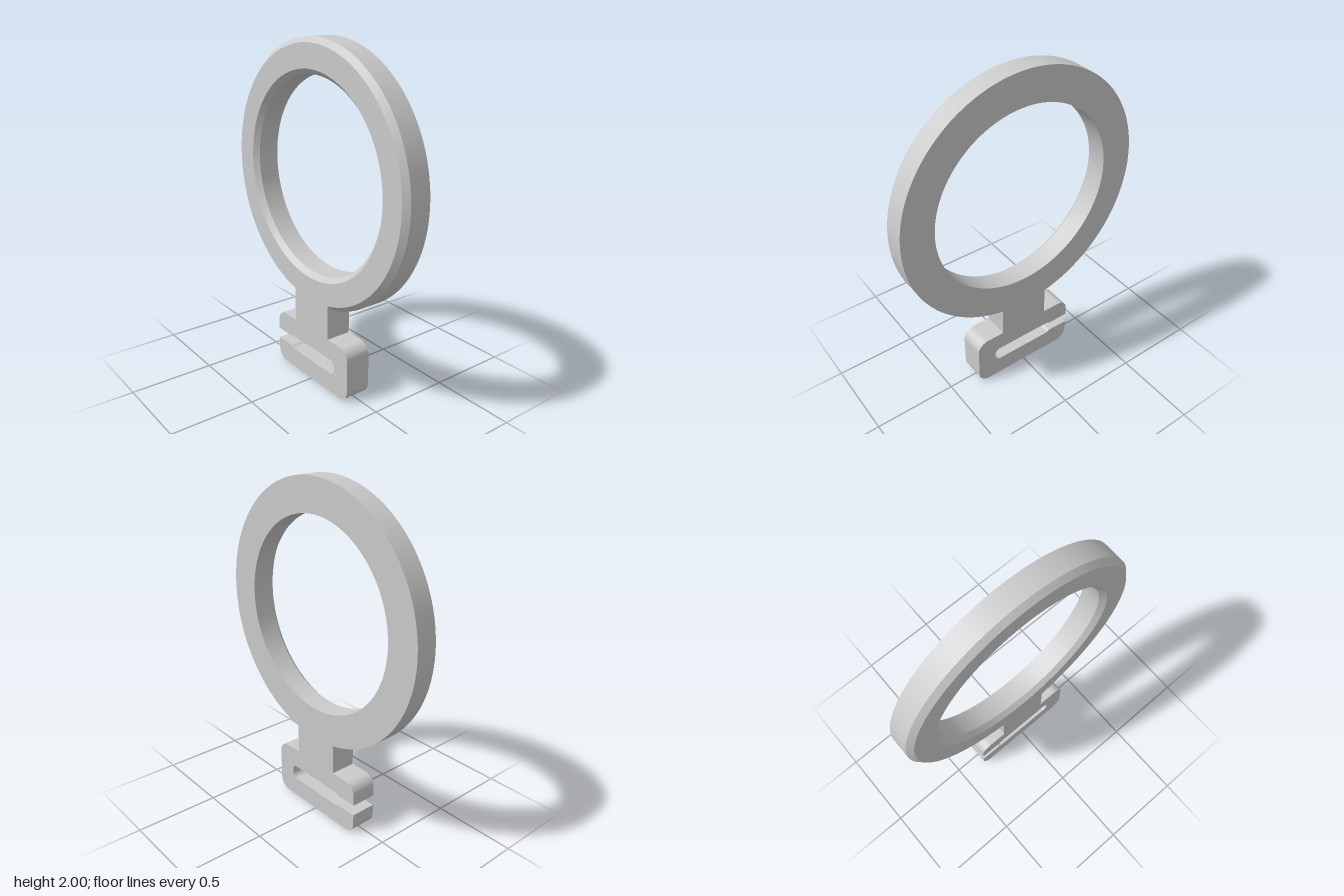
import * as THREE from 'three';
import { toCreasedNormals } from 'three/addons/utils/BufferGeometryUtils.js';

const H = 0.078;            // half thickness
const CY = 1.245;           // ring centre height
const R_OUT = 0.755, R_IN = 0.56, BEVEL = 0.03;

export function createModel() {
  const group = new THREE.Group();
  const material = new THREE.MeshStandardMaterial({ color: 0xcccccc });
  const add = (name, geometry) => {
    const mesh = new THREE.Mesh(toCreasedNormals(geometry, 0.5), material);
    mesh.name = name;
    group.add(mesh);
    return mesh;
  };

  // Ring, bevelled on both front edges
  const profile = [
    [R_IN, -H], [R_OUT, -H], [R_OUT, H - BEVEL], [R_OUT - BEVEL, H],
    [R_IN + BEVEL, H], [R_IN, H - BEVEL], [R_IN, -H],
  ].map(([r, z]) => new THREE.Vector2(r, z));
  const ring = new THREE.LatheGeometry(profile, 128);
  ring.rotateX(Math.PI / 2);
  add('ring', ring).position.y = CY;

  // Neck and slotted strap hook, one outline traced counter-clockwise
  const W = 0.337, TOP = 0.327, R = 0.07, NECK = 0.157;
  const gapLow = 0.132, gapHigh = 0.198;
  const slotLow = 0.121, slotHigh = 0.209, slotEnd = 0.218, r = 0.04;
  const q = Math.PI / 2;
  const dip = Math.asin((r - (gapLow - slotLow)) / r);
  const rim = R_OUT - BEVEL;
  const neckAngle = Math.asin(NECK / rim);

  const s = new THREE.Shape();
  s.moveTo(-W, gapLow);
  s.absarc(-W + R, R, R, 2 * q, 3 * q);
  s.absarc(W - R, R, R, 3 * q, 4 * q);
  s.absarc(W - R, TOP - R, R, 0, q);
  s.lineTo(NECK, TOP);
  // neck top follows the ring
  s.absarc(0, CY, rim, 3 * q + neckAngle, 3 * q - neckAngle, true);
  s.lineTo(-NECK, TOP);
  s.absarc(-W + R, TOP - R, R, q, 2 * q);
  s.lineTo(-W, gapHigh);
  // inside of the slot, clockwise back to the gap
  s.absarc(-slotEnd + r, slotHigh - r, r, 2 * q - dip, q, true);
  s.absarc(slotEnd - r, slotHigh - r, r, q, 0, true);
  s.absarc(slotEnd - r, slotLow + r, r, 0, -q, true);
  s.absarc(-slotEnd + r, slotLow + r, r, -q, -2 * q + dip, true);
  s.lineTo(-W, gapLow);

  const hook = new THREE.ExtrudeGeometry(s, { depth: 2 * H, bevelEnabled: false, curveSegments: 12 });
  hook.translate(0, 0, -H);
  add('strapHook', hook);

  return group;
}
